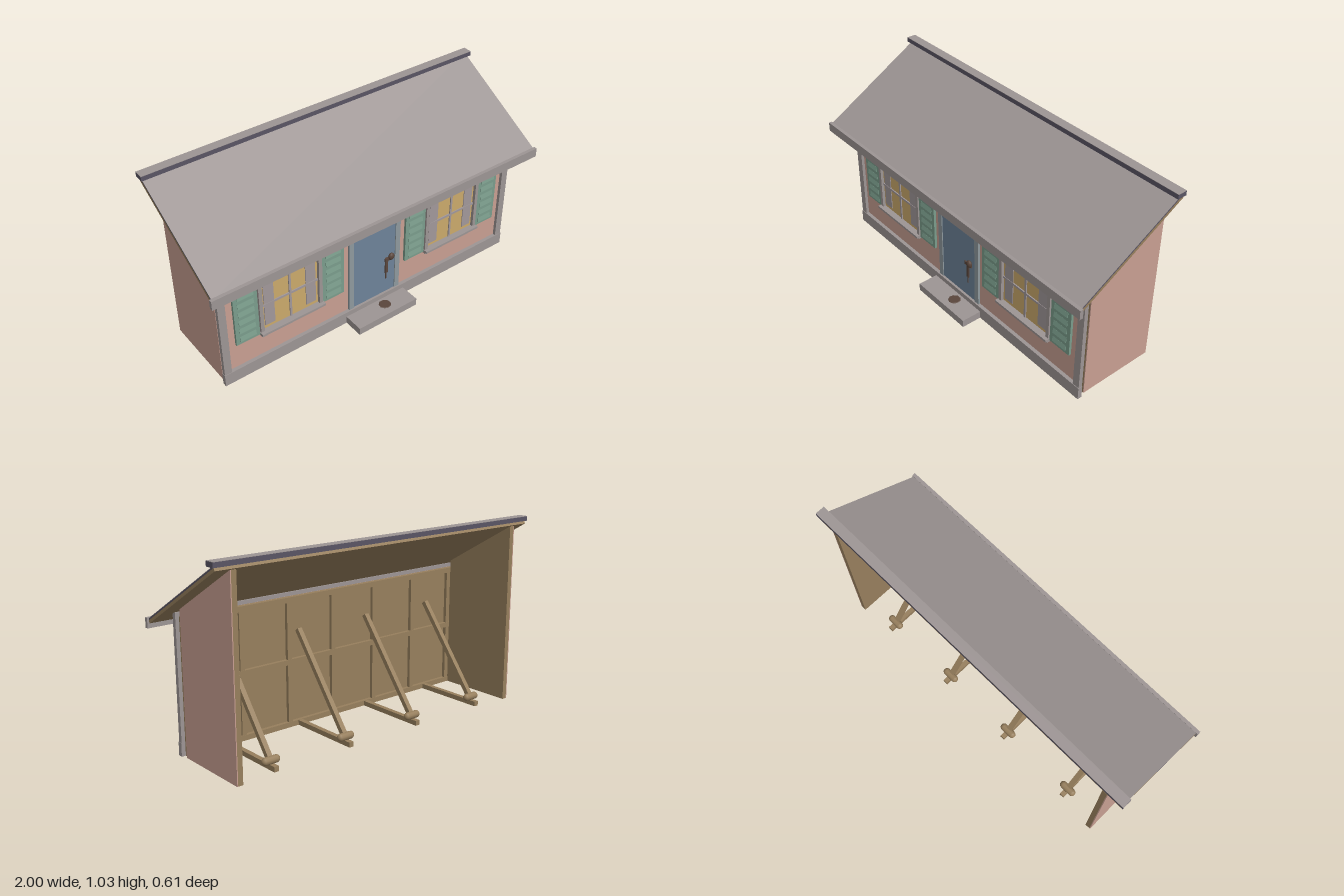
import * as THREE from 'three';

const mat = (name, color) => {
  const m = new THREE.MeshStandardMaterial({ color });
  m.name = name;
  return m;
};

export function createModel() {
  const model = new THREE.Group();
  model.name = 'houseFacade';
  const pink = mat('pinkPlaster', 0xc89f92);
  const grey = mat('greyTrim', 0x9d9594);
  const slate = mat('darkSlate', 0x5a5564);
  const wood = mat('rawWood', 0x977f5d);
  const green = mat('shutterGreen', 0x7b9d8c);
  const blue = mat('doorBlue', 0x6d8399);
  const paleBlue = mat('doorFrameBlue', 0x8e999e);
  const gold = mat('warmGlass', 0xcba96b);
  const cloth = mat('curtainCloth', 0xa1989a);
  const iron = mat('darkIron', 0x5a463c);

  const add = (name, geo, material, parent = model) => {
    const m = new THREE.Mesh(geo, material);
    m.name = name;
    parent.add(m);
    return m;
  };
  // Box given by its lower and upper limits
  const box = (name, material, x0, x1, y0, y1, z0, z1, parent = model) => {
    const g = new THREE.BoxGeometry(x1 - x0, y1 - y0, z1 - z0);
    g.translate((x0 + x1) / 2, (y0 + y1) / 2, (z0 + z1) / 2);
    return add(name, g, material, parent);
  };
  // Prism with a [z, y] profile, running along x
  const prism = (name, material, pts, x0, x1) => {
    const shape = new THREE.Shape(pts.map(([z, y]) => new THREE.Vector2(z, y)));
    const g = new THREE.ExtrudeGeometry(shape, { depth: x1 - x0, bevelEnabled: false });
    g.rotateY(-Math.PI / 2);
    g.translate(x1, 0, 0);
    return add(name, g, material);
  };

  // Sloping roof in layers: boards, slate edge and grey covering
  const low = [0.28, 0.649], high = [-0.3, 0.986], n = [0.502, 0.865];
  const layer = (name, material, a, b, w) => prism(name, material, [
    [low[0] + n[0] * a, low[1] + n[1] * a], [low[0] + n[0] * b, low[1] + n[1] * b],
    [high[0] + n[0] * b, high[1] + n[1] * b], [high[0] + n[0] * a, high[1] + n[1] * a],
  ], -w, w);
  layer('roofBoards', wood, 0, 0.015, 0.99);
  layer('roofSlateEdge', slate, 0.015, 0.022, 0.99);
  layer('roofCovering', grey, 0.022, 0.024, 0.99);
  box('fascia', grey, -1, 1, 0.625, 0.676, 0.284, 0.303);
  box('ridge', slate, -1, 1, 1.0, 1.024, -0.302, -0.25);
  box('ridgeCap', grey, -1, 1, 1.024, 1.026, -0.302, -0.25);

  // Side walls, plaster outside and wood inside
  const side = [[-0.29, 0], [0.14, 0], [0.14, 0.73], [-0.29, 0.98]];
  for (const s of [-1, 1]) {
    const wall = (name, material, a, b) =>
      prism(name, material, side, Math.min(s * a, s * b), Math.max(s * a, s * b));
    wall('sideWallBoards', wood, 0.878, 0.905);
    wall('sideWallPlaster', pink, 0.905, 0.91);
    box('cornerTrim', grey, s * 0.9 - 0.02, s * 0.9 + 0.02, 0.07, 0.71, 0.165, 0.187);
  }

  // Front wall
  box('frontBacking', wood, -0.9, 0.9, 0, 0.69, 0.158, 0.165);
  box('frontPlaster', pink, -0.89, 0.89, 0.06, 0.69, 0.165, 0.17);
  box('frieze', grey, -0.9, 0.9, 0.675, 0.71, 0.166, 0.19);
  box('plinth', grey, -0.922, 0.922, 0, 0.07, 0.165, 0.19);
  box('step', grey, -0.19, 0.19, 0, 0.042, 0.19, 0.303);
  const stain = new THREE.CylinderGeometry(0.03, 0.035, 0.004, 9);
  stain.translate(0.03, 0.043, 0.235);
  add('stepIronwork', stain, iron);

  // Door
  for (const s of [-1, 1])
    box('doorJamb', paleBlue, s * 0.15 - 0.015, s * 0.15 + 0.015, 0.07, 0.61, 0.17, 0.182);
  box('doorHead', paleBlue, -0.135, 0.135, 0.58, 0.61, 0.17, 0.182);
  box('door', blue, -0.135, 0.135, 0.07, 0.58, 0.17, 0.177);
  box('doorCrown', grey, -0.045, 0.045, 0.61, 0.625, 0.17, 0.185);
  box('handlePlate', iron, 0.07, 0.088, 0.2, 0.3, 0.177, 0.183);
  box('keyStem', iron, 0.074, 0.08, 0.16, 0.2, 0.177, 0.181);
  box('latch', iron, 0.062, 0.115, 0.283, 0.302, 0.183, 0.19);
  const knob = new THREE.SphereGeometry(0.018, 12, 8);
  knob.scale(1, 1.2, 0.7);
  knob.translate(0.102, 0.305, 0.19);
  add('doorKnob', knob, iron);

  // Windows with curtains and shutters
  for (const s of [-1, 1]) {
    const w = new THREE.Group();
    w.name = s > 0 ? 'leftWindow' : 'rightWindow';
    w.position.x = s * 0.519;
    model.add(w);
    box('glass', gold, -0.165, 0.165, 0.23, 0.53, 0.17, 0.173, w);
    box('muntinUpright', cloth, -0.006, 0.006, 0.23, 0.53, 0.173, 0.179, w);
    box('muntinBar', cloth, -0.165, 0.165, 0.374, 0.386, 0.173, 0.179, w);
    box('frameHead', grey, -0.185, 0.185, 0.525, 0.545, 0.17, 0.19, w);
    box('sill', grey, -0.187, 0.187, 0.217, 0.23, 0.17, 0.209, w);
    for (const t of [-1, 1]) {
      const span = (name, m, a, b, ...r) =>
        box(name, m, Math.min(t * a, t * b), Math.max(t * a, t * b), ...r, w);
      span('curtain', cloth, 0.092, 0.15, 0.25, 0.53, 0.173, 0.177);
      span('frameJamb', grey, 0.163, 0.183, 0.23, 0.525, 0.17, 0.19);
      span('sillBracket', grey, 0.166, 0.184, 0.206, 0.217, 0.17, 0.195);
      span('cornerIron', iron, 0.166, 0.188, 0.525, 0.547, 0.187, 0.193);
      span('shutter', green, 0.187, 0.319, 0.218, 0.536, 0.17, 0.184);
      // Tilted louvres
      for (let i = 0; i < 6; i++) {
        const slat = new THREE.BoxGeometry(0.09, 0.028, 0.004);
        slat.rotateX(-0.2);
        slat.translate(t * 0.253, 0.25 + i * 0.051, 0.185);
        add('louvre', slat, green, w);
      }
    }
  }

  // Timber frame behind the front wall
  for (let i = -3; i <= 3; i++) {
    const x = i * 0.288;
    box('stud', wood, x - 0.013, x + 0.013, 0.02, 0.67, 0.14, 0.158);
  }
  for (const y of [0.013, 0.35, 0.675])
    box('rail', wood, -0.9, 0.9, y - 0.013, y + 0.015, 0.138, 0.158);

  // Raking braces on floor bearers
  for (const x of [-0.68, -0.227, 0.227, 0.68]) {
    box('bearer', wood, x - 0.013, x + 0.013, 0, 0.026, -0.27, 0.14);
    const dy = 0.48, dz = 0.37;
    const bar = new THREE.BoxGeometry(0.026, Math.hypot(dy, dz), 0.026);
    bar.rotateX(Math.atan2(dz, dy));
    bar.translate(x, 0.275, -0.04);
    add('brace', bar, wood);
    const weight = new THREE.CapsuleGeometry(0.02, 0.06, 4, 10);
    weight.rotateZ(Math.PI / 2);
    weight.translate(x, 0.044, -0.225);
    add('braceFoot', weight, wood);
  }
  return model;
}
